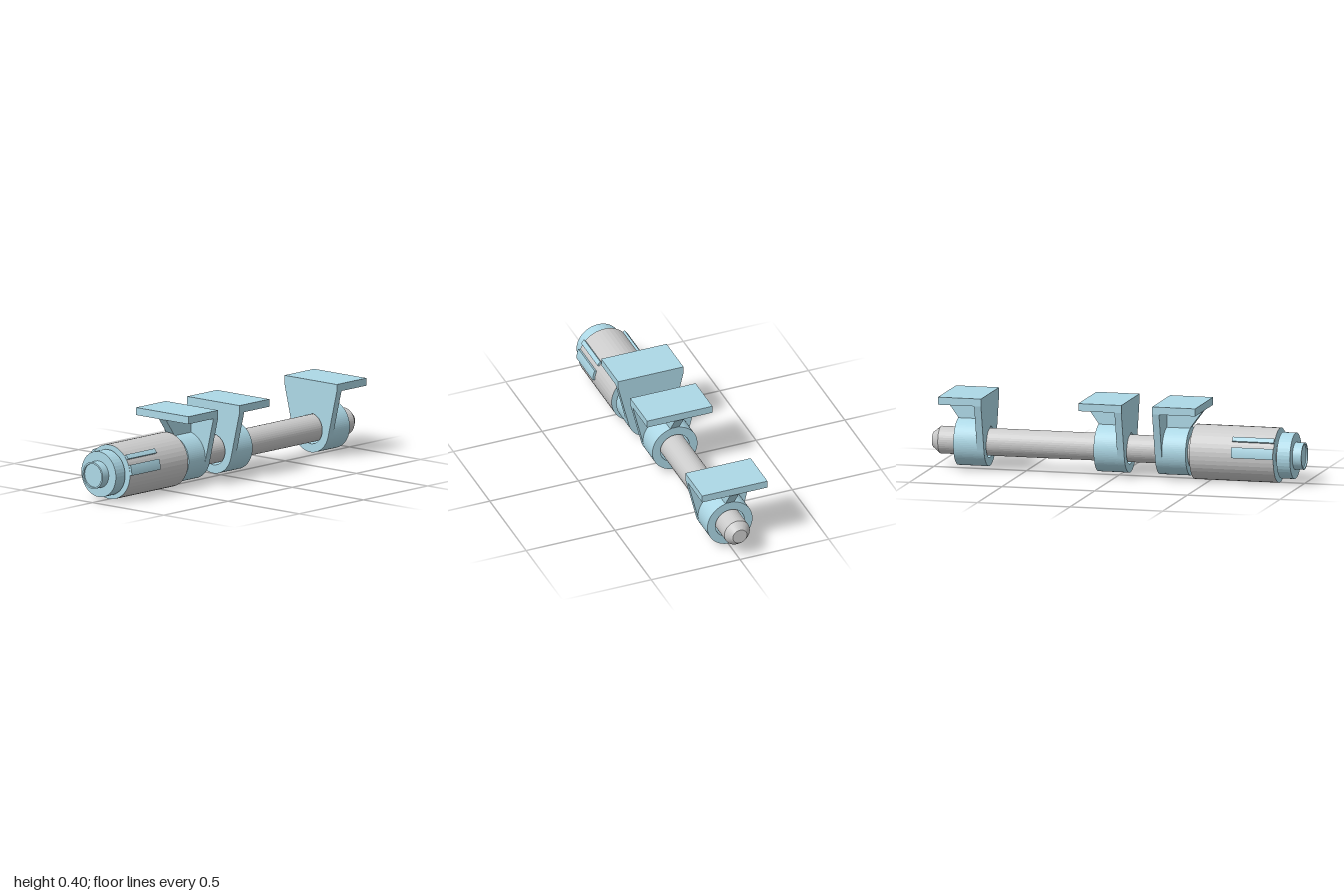
import * as THREE from 'three';

const AXIS_Y = 0.145;
const SEG = 40;
const grey = new THREE.MeshStandardMaterial({ color: 0xcccccc, flatShading: true });
const blue = new THREE.MeshStandardMaterial({ color: 0xadd8e6, flatShading: true });

function add(parent, name, geometry, material) {
  const mesh = new THREE.Mesh(geometry, material);
  mesh.name = name;
  parent.add(mesh);
  return mesh;
}

// Cylinder along z from z0 to z1, with a radius at each end
function rod(parent, name, z0, z1, r0, r1, material) {
  const geo = new THREE.CylinderGeometry(r1, r0, z1 - z0, SEG);
  geo.rotateX(Math.PI / 2).translate(0, 0, (z0 + z1) / 2);
  return add(parent, name, geo, material);
}

// Shape in the xy plane extruded from z0 to z1
function slab(parent, name, shape, z0, z1, material) {
  const geo = new THREE.ExtrudeGeometry(shape, { depth: z1 - z0, bevelEnabled: false, curveSegments: SEG });
  geo.translate(0, 0, z0);
  return add(parent, name, geo, material);
}

function withBore(shape, r) {
  shape.holes.push(new THREE.Path().absarc(0, 0, r, 0, Math.PI * 2, true));
  return shape;
}

function ring(outer, inner) {
  return withBore(new THREE.Shape().absarc(0, 0, outer, 0, Math.PI * 2, false), inner);
}

function arcBlock(r0, r1, degStart, degEnd) {
  const a = THREE.MathUtils.degToRad(degStart), b = THREE.MathUtils.degToRad(degEnd);
  const s = new THREE.Shape();
  s.absarc(0, 0, r1, a, b, false);
  s.absarc(0, 0, r0, b, a, true);
  s.closePath();
  return s;
}

// Hanger bracket: web at local z = 0, collar and top plate reaching towards -z
function makeBracket(name) {
  const g = new THREE.Group();
  g.name = name;
  const R = 0.127, bore = 0.082, webT = 0.037, top = 0.217;
  const tilt = -0.236;

  // flared web that runs tangent into the collar
  const web = new THREE.Shape();
  web.moveTo(-R * Math.cos(tilt), R * Math.sin(tilt));
  web.absarc(0, 0, R, Math.PI - tilt, Math.PI * 2 + tilt, false);
  web.lineTo(0.184, top);
  web.lineTo(-0.184, top);
  web.closePath();
  slab(g, 'web', withBore(web, bore), -webT, 0, blue);

  slab(g, 'collar', ring(R, bore), -0.165, -webT, blue);

  const plate = new THREE.BoxGeometry(0.368, 0.04, 0.232);
  plate.translate(0, top + 0.02, -0.116);
  add(g, 'topPlate', plate, blue);

  // central rib, sloping from the collar out to the plate edge
  const rib = new THREE.Shape([
    new THREE.Vector2(webT, 0.115), new THREE.Vector2(0.165, 0.115),
    new THREE.Vector2(0.165, 0.128), new THREE.Vector2(0.23, top), new THREE.Vector2(webT, top),
  ]);
  const ribGeo = new THREE.ExtrudeGeometry(rib, { depth: 0.05, bevelEnabled: false });
  ribGeo.translate(0, 0, -0.025).rotateY(Math.PI / 2);
  add(g, 'rib', ribGeo, blue);
  return g;
}

export function createModel() {
  const model = new THREE.Group();
  model.name = 'shaftAssembly';
  const body = new THREE.Group();
  body.name = 'body';
  body.position.y = AXIS_Y;
  model.add(body);

  // main shaft with chamfered rear tip
  rod(body, 'shaft', -0.96, 0.43, 0.072, 0.072, grey);
  rod(body, 'shaftTip', -1, -0.96, 0.04, 0.072, grey);

  // sleeve with necks at both ends
  rod(body, 'rearNeck', 0.39, 0.425, 0.085, 0.085, grey);
  rod(body, 'sleeve', 0.415, 0.868, 0.144, 0.144, [grey, blue, blue]);
  rod(body, 'frontNeck', 0.86, 0.885, 0.083, 0.083, grey);

  // raised keys on both sides of the sleeve
  for (const side of [1, -1]) {
    for (const [a, b] of [[0, 21], [33.5, 43]]) {
      const start = side > 0 ? a : 180 - b;
      const end = side > 0 ? b : 180 - a;
      slab(body, 'sleeveKey', arcBlock(0.138, 0.156, start, end), 0.643, 0.867, blue);
    }
  }
  slab(body, 'keyEnd', arcBlock(0.1445, 0.156, 159, 180), 0.866, 0.8685, grey);

  // front collar and shallow-recessed end cap
  rod(body, 'frontCollar', 0.88, 0.952, 0.121, 0.121, blue);
  slab(body, 'endCapRim', ring(0.071, 0.062), 0.95, 1, blue);
  rod(body, 'endCapFace', 0.95, 0.992, 0.062, 0.062, blue);

  // hanger brackets; the front one faces the other way
  const brackets = [['frontBracket', 0.226, true], ['middleBracket', 0.06, false], ['rearBracket', -0.697, false]];
  for (const [name, z, turned] of brackets) {
    const b = makeBracket(name);
    b.position.z = z;
    if (turned) b.rotation.y = Math.PI;
    body.add(b);
  }
  return model;
}
